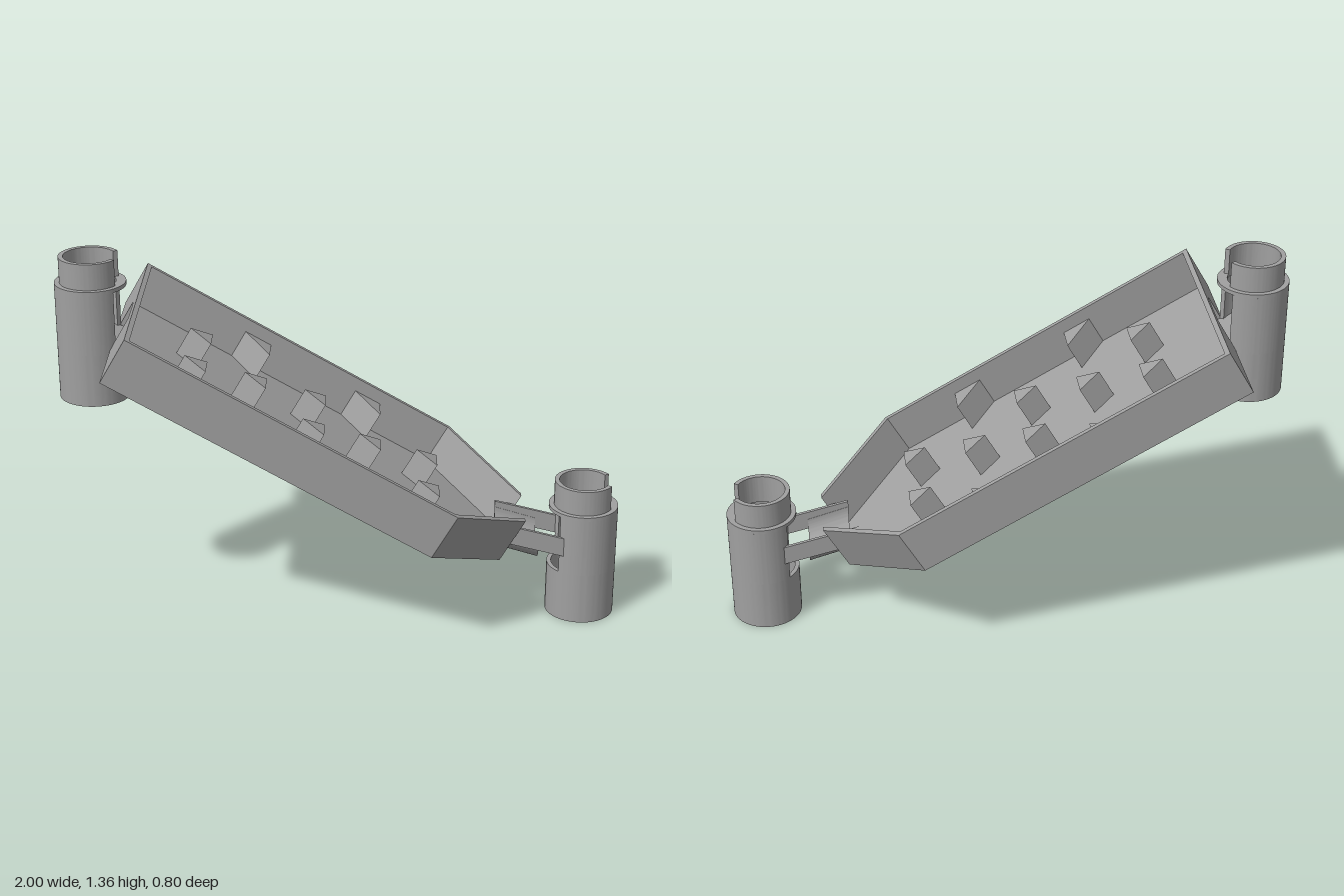
import * as THREE from 'three';
import { toCreasedNormals } from 'three/addons/utils/BufferGeometryUtils.js';

const grey = new THREE.MeshStandardMaterial({ color: 0xa0a0a0 });
grey.name = 'grey plastic';

function part(name, geometry, parent) {
  const mesh = new THREE.Mesh(toCreasedNormals(geometry, 0.5), grey);
  mesh.name = name;
  parent.add(mesh);
  return mesh;
}

const extrude = (shape, depth) =>
  new THREE.ExtrudeGeometry(shape, { depth, bevelEnabled: false, curveSegments: 48 });

const polygon = (points) => new THREE.Shape(points.map(([x, y]) => new THREE.Vector2(x, y)));

// Ring outline, optionally with a gap of half-angle g facing angle dir
function ringShape(outer, inner, g = 0, dir = 0) {
  const shape = new THREE.Shape();
  if (!g) {
    shape.absarc(0, 0, outer, 0, Math.PI * 2, false);
    shape.holes.push(new THREE.Path().absarc(0, 0, inner, 0, Math.PI * 2, true));
    return shape;
  }
  const a = dir + g, b = dir + Math.PI * 2 - g;
  shape.absarc(0, 0, outer, a, b, false);
  shape.absarc(0, 0, inner, b, a, true);
  shape.closePath();
  return shape;
}

// Slopes a geometry downwards along +x
function shear(geometry, slope) {
  const p = geometry.attributes.position;
  for (let i = 0; i < p.count; i++) p.setY(i, p.getY(i) - slope * p.getX(i));
  return geometry;
}

// Stackable tube with a side opening and a notched collar
function tower(name, x, y, openingDir) {
  const g = new THREE.Group();
  g.name = name;
  g.position.set(x, y, 0);
  const ring = (label, y0, y1, shape) =>
    part(label, extrude(shape, y1 - y0).rotateX(-Math.PI / 2).translate(0, y0, 0), g);
  ring('tubeBase', 0, 0.19, ringShape(0.125, 0.109));
  ring('tubeOpening', 0.19, 0.408, ringShape(0.125, 0.109, 0.77, openingDir));
  ring('tubeShoulder', 0.408, 0.422, ringShape(0.125, 0.09));
  ring('collar', 0.422, 0.515, ringShape(0.107, 0.09, 0.52, 0));
  return g;
}

function tray() {
  const g = new THREE.Group();
  g.name = 'tray';
  g.position.set(-0.805, 1.045, 0);
  g.rotation.z = -Math.PI / 6;
  const H = 0.177, L = 1.586, K = 1.29, W = 0.4, T = 0.018, tip = 0.12;
  const flat = (name, points, y, h) =>
    part(name, extrude(polygon(points), h).rotateX(-Math.PI / 2).translate(0, y, 0), g);

  flat('floor', [[0, -W], [K, -W], [L, -tip], [L, tip], [K, W], [0, W]], 0, 0.02);
  for (const s of [-1, 1]) {
    flat('sideWall', [[0, s * W], [K, s * W], [L, s * tip], [L, s * (tip - 0.024)],
      [K - 0.008, s * (W - T)], [0, s * (W - T)]], 0, H);
  }

  // Upper end wall with its inlet
  const back = polygon([[-W, 0], [W, 0], [W, H], [-W, H]]);
  back.holes.push(new THREE.Path([[-0.09, 0.022], [-0.09, 0.132], [-0.06, 0.138],
    [0.06, 0.138], [0.09, 0.132], [0.09, 0.022]].map(([x, y]) => new THREE.Vector2(x, y))));
  part('endWall', extrude(back, T).rotateY(Math.PI / 2), g);

  // Staggered deflectors pointing uphill
  const wedge = (s, z) =>
    flat('deflector', [[s - 0.086, z], [s, z - 0.047], [s, z + 0.047]], 0.018, 0.112);
  for (const s of [0.314, 0.784, 1.254]) for (const z of [-0.135, 0.135]) wedge(s, z);
  for (const s of [0.544, 1.014]) {
    wedge(s, 0);
    for (const m of [-1, 1]) {
      flat('sideDeflector', [[s - 0.11, m * 0.385], [s, m * 0.385], [s, m * 0.28]], 0.018, 0.112);
    }
  }
  return g;
}

// Half-pipe outlet with two arms reaching the lower tube
function outlet() {
  const g = new THREE.Group();
  g.name = 'outlet';
  g.position.set(0.71, 0.32, 0);
  const pipe = (name, x0, x1, gap) => part(name, shear(
    extrude(ringShape(0.1, 0.088, gap, Math.PI / 2), x1 - x0)
      .rotateY(Math.PI / 2).translate(x0, 0, 0), 0.3), g);
  pipe('channel', -0.15, 0, Math.PI / 2);
  pipe('channelRoot', -0.26, -0.15, Math.PI - 0.6);
  for (const s of [-1, 1]) {
    part('channelArm', shear(new THREE.BoxGeometry(0.24, 0.07, 0.012)
      .translate(-0.03, -0.005, s * 0.095), 0.25), g);
  }
  return g;
}

export function createModel() {
  const model = new THREE.Group();
  model.name = 'ballRunRamp';
  const upper = tower('upperTube', -0.875, 0.845, 0);
  model.add(upper, tower('lowerTube', 0.875, 0, Math.PI), tray(), outlet());

  // Sloped floor that rolls a ball out of the upper tube
  part('rampDisc', shear(new THREE.CylinderGeometry(0.11, 0.11, 0.012, 48), 0.3)
    .translate(0, 0.247, 0), upper);
  part('rampLip', shear(new THREE.BoxGeometry(0.07, 0.012, 0.172).translate(0.07, 0, 0), 0.3)
    .translate(0, 0.247, 0), upper);
  return model;
}
